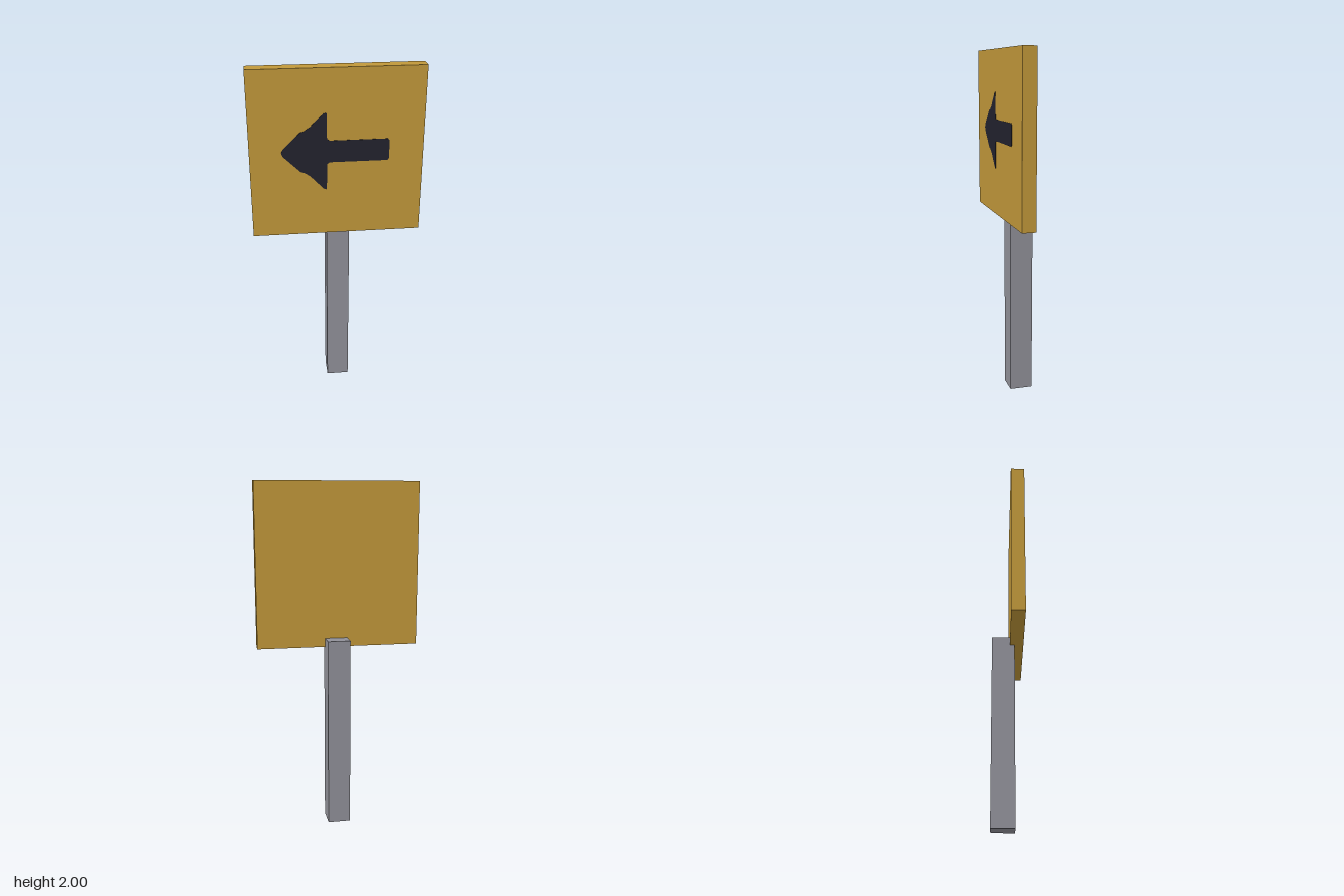
import * as THREE from 'three';

const material = (name, color) => {
  const m = new THREE.MeshStandardMaterial({ color });
  m.name = name;
  return m;
};

// Box given by its lower and upper corners
function box(name, mat, min, max) {
  const size = max.map((v, i) => v - min[i]);
  const mesh = new THREE.Mesh(new THREE.BoxGeometry(...size), mat);
  mesh.position.set(...max.map((v, i) => (v + min[i]) / 2));
  mesh.name = name;
  return mesh;
}

export function createModel() {
  const yellow = material('signYellow', 0xc0973a);
  const grey = material('postGrey', 0x909098);
  const black = material('arrowBlack', 0x22222e);
  const group = new THREE.Group();
  group.name = 'arrowSign';

  // Square post, slightly off centre, reaching into the back of the panel
  group.add(box('post', grey, [-0.053, 0, -0.092], [0.077, 1.107, 0.04]));
  group.add(box('panel', yellow, [-0.473, 1.057, 0.012], [0.473, 2, 0.09]));

  // Arrow outline: upper half from the tip to the tail, mirrored for the lower half
  const half = [
    [-0.303, 0], [-0.295, 0.02], [-0.2, 0.112], [-0.175, 0.118], [-0.145, 0.138],
    [-0.072, 0.215], [-0.055, 0.22], [-0.053, 0.072], [-0.04, 0.061],
    [0.276, 0.061], [0.284, 0.05],
  ];
  const lower = half.slice(1).reverse().map(([x, y]) => [x, -y]);
  const outline = new THREE.Shape([...half, ...lower].map(([x, y]) => new THREE.Vector2(x, y)));
  const arrow = new THREE.Mesh(
    new THREE.ExtrudeGeometry(outline, { depth: 0.003, bevelEnabled: false }), black);
  arrow.position.set(0, 1.545, 0.089);
  arrow.name = 'arrow';
  group.add(arrow);

  return group;
}
